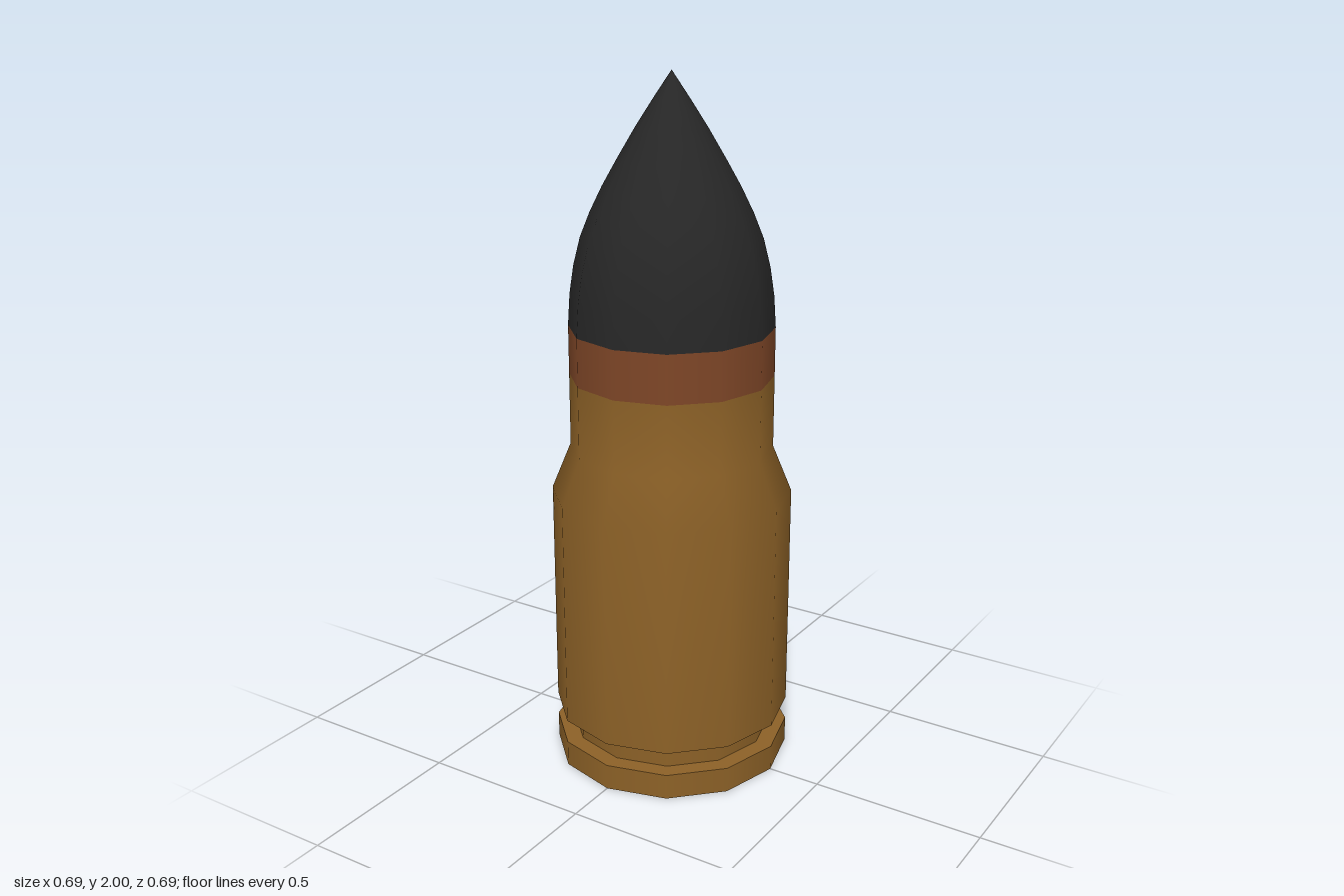
import * as THREE from 'three';

const SIDES = 12;

export function createModel() {
  const group = new THREE.Group();
  group.name = 'cartridge';

  const material = (name, color) => {
    const m = new THREE.MeshStandardMaterial({ color });
    m.name = name;
    return m;
  };
  const brass = material('brass', 0x8c6127);
  const copper = material('copper', 0x7e4627);
  const black = material('black', 0x272727);

  // Turned part: smooth along its own profile, sharp where parts meet
  const turn = (name, mat, profile) => {
    const points = profile.map(([r, y]) => new THREE.Vector2(r, y));
    const mesh = new THREE.Mesh(new THREE.LatheGeometry(points, SIDES), mat);
    mesh.name = name;
    group.add(mesh);
  };

  // Rim and extractor groove
  turn('base', brass, [[0, 0], [0.345, 0]]);
  turn('rim', brass, [[0.345, 0], [0.345, 0.075]]);
  turn('rimTop', brass, [[0.345, 0.075], [0.295, 0.075]]);
  turn('groove', brass, [[0.295, 0.075], [0.295, 0.145]]);
  turn('grooveTop', brass, [[0.295, 0.145], [0.345, 0.145]]);

  // Case body, shoulder and neck
  turn('case', brass, [[0.345, 0.145], [0.345, 0.815], [0.29, 0.95], [0.29, 1.16]]);

  // Coloured band below the tip
  turn('band', copper, [[0.29, 1.16], [0.29, 1.3]]);

  // Pointed ogive tip
  turn('tip', black, [
    [0.29, 1.3], [0.284, 1.39], [0.272, 1.47], [0.252, 1.55], [0.224, 1.62],
    [0.19, 1.69], [0.148, 1.765], [0.098, 1.85], [0.05, 1.925], [0, 2],
  ]);

  return group;
}
